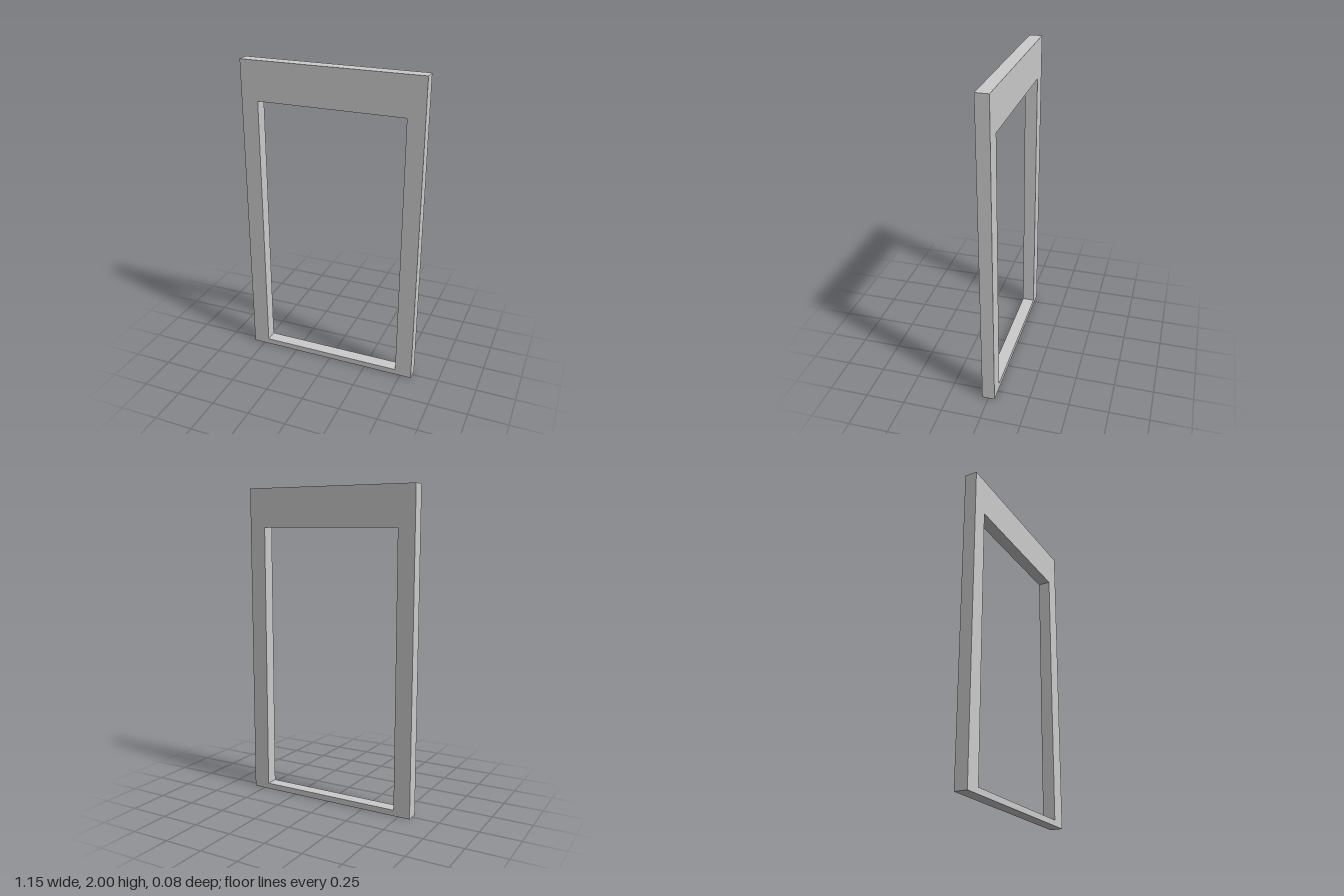
import * as THREE from 'three';

const WIDTH = 1.15, HEIGHT = 2, DEPTH = 0.08;
const OPENING = { halfWidth: 0.467, bottom: 0.037, top: 1.753 };

// Traces a rectangle onto a Shape or Path
function rectangle(path, x0, y0, x1, y1) {
  path.moveTo(x0, y0);
  path.lineTo(x1, y0);
  path.lineTo(x1, y1);
  path.lineTo(x0, y1);
  path.closePath();
  return path;
}

export function createModel() {
  const group = new THREE.Group();
  group.name = 'doorFrame';

  // One-piece frame: slim jambs, deep header and thin threshold around the opening
  const outline = rectangle(new THREE.Shape(), -WIDTH / 2, 0, WIDTH / 2, HEIGHT);
  outline.holes.push(rectangle(
    new THREE.Path(), -OPENING.halfWidth, OPENING.bottom, OPENING.halfWidth, OPENING.top));

  const geometry = new THREE.ExtrudeGeometry(outline, { depth: DEPTH, bevelEnabled: false });
  geometry.translate(0, 0, -DEPTH / 2);

  const frame = new THREE.Mesh(geometry, new THREE.MeshStandardMaterial({ color: 0xcccccc }));
  frame.name = 'frame';
  group.add(frame);
  return group;
}
